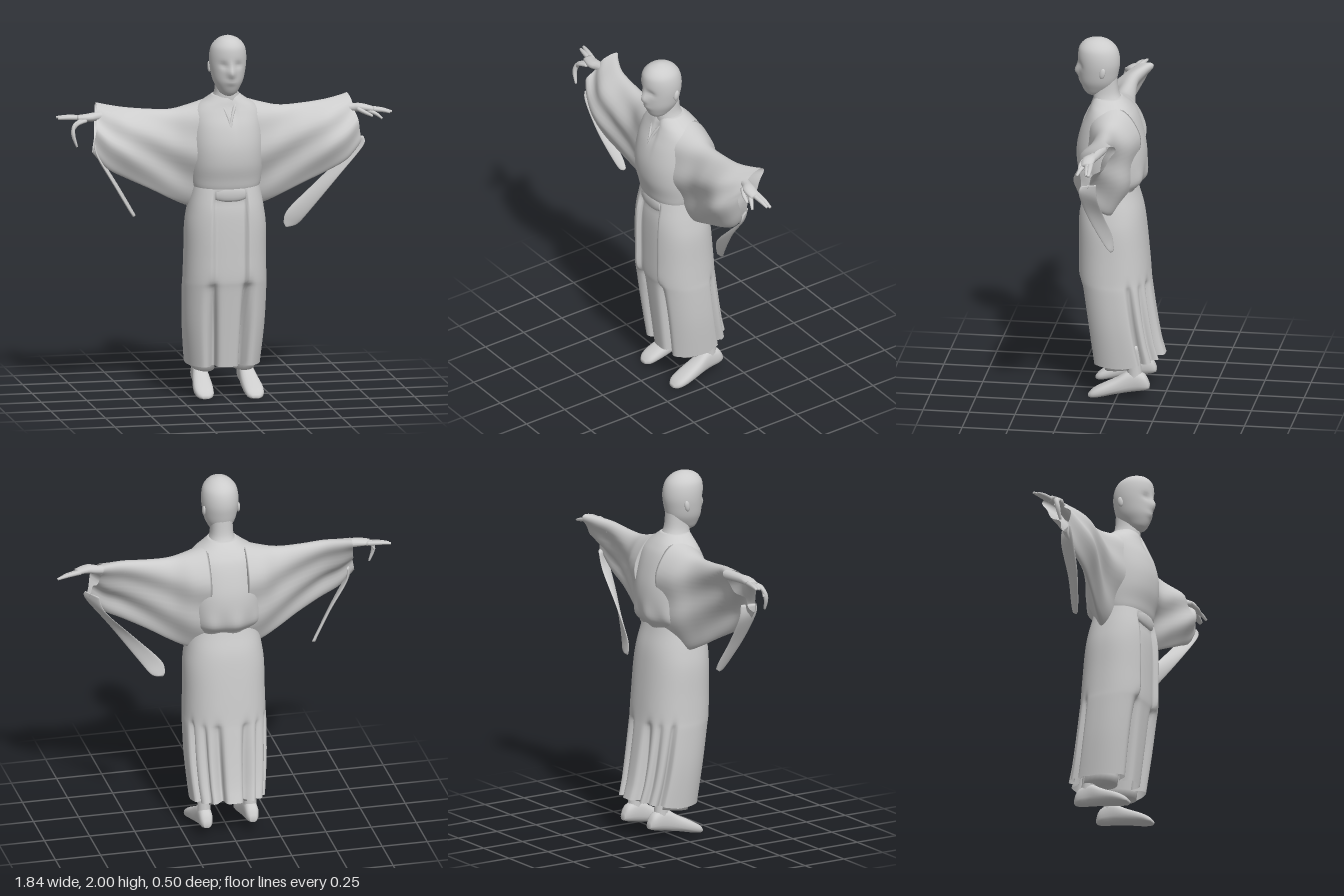
import * as THREE from 'three';

const cloth = new THREE.MeshStandardMaterial({ color: 0xcccccc, side: THREE.DoubleSide });
cloth.name = 'plain grey';

// Catmull-Rom interpolation of parameter rows, column by column
function smooth(rows, steps) {
  const out = [], last = rows.length - 1;
  for (let i = 0; i < last; i++) {
    const a = rows[Math.max(i - 1, 0)], b = rows[i], c = rows[i + 1], d = rows[Math.min(i + 2, last)];
    for (let k = 0; k < steps; k++) {
      const t = k / steps;
      out.push(b.map((_, j) => 0.5 * (2 * b[j] + (c[j] - a[j]) * t
        + (2 * a[j] - 5 * b[j] + 4 * c[j] - d[j]) * t * t
        + (3 * b[j] - a[j] - 3 * c[j] + d[j]) * t * t * t)));
    }
  }
  out.push(rows[last]);
  return out;
}

// Skin closed rings of points; faces are turned outwards by signed volume
function loft(name, rings, capStart = true, capEnd = true) {
  const n = rings[0].length, pos = rings.flat(2), idx = [];
  for (let i = 0; i < rings.length - 1; i++) {
    for (let j = 0; j < n; j++) {
      const a = i * n + j, b = i * n + (j + 1) % n;
      idx.push(a, b, a + n, b, b + n, a + n);
    }
  }
  const cap = (row, flip) => {
    const c = pos.length / 3;
    for (let k = 0; k < 3; k++) pos.push(rings[row].reduce((s, p) => s + p[k], 0) / n);
    for (let j = 0; j < n; j++) {
      const a = row * n + j, b = row * n + (j + 1) % n;
      if (flip) idx.push(c, b, a); else idx.push(c, a, b);
    }
  };
  if (capStart) cap(0, true);
  if (capEnd) cap(rings.length - 1, false);
  const v = i => new THREE.Vector3(pos[3 * i], pos[3 * i + 1], pos[3 * i + 2]);
  let volume = 0;
  for (let i = 0; i < idx.length; i += 3) volume += v(idx[i]).dot(v(idx[i + 1]).cross(v(idx[i + 2])));
  if (volume < 0) idx.reverse();
  const g = new THREE.BufferGeometry();
  g.setAttribute('position', new THREE.Float32BufferAttribute(pos, 3));
  g.setIndex(idx);
  g.computeVertexNormals();
  const mesh = new THREE.Mesh(g, cloth);
  mesh.name = name;
  return mesh;
}

const ring = (n, f) => Array.from({ length: n }, (_, i) => f(i / n * Math.PI * 2));
const sPow = (v, p) => Math.sign(v) * Math.abs(v) ** p;
const bell = (v, w) => Math.exp(-((v / w) ** 2));

// Upright rounded form from rows of [y, halfWidth, frontZ, backZ]
function upright(name, rows, n, dent = () => 0, p = 0.9) {
  return loft(name, smooth(rows, 4).map(([y, rx, f, b]) => ring(n, a => {
    const x = rx * sPow(Math.sin(a), p), c = sPow(Math.cos(a), p);
    return [x, y, (f + b) / 2 + (f - b) / 2 * c + dent(x, y, c)];
  })));
}

// Tapered limb through [x, y, z, radius, flatness]
function limb(name, pts, n = 12) {
  const rows = smooth(pts, 4);
  return loft(name, rows.map((r, i) => {
    const a = rows[Math.max(i - 1, 0)], b = rows[Math.min(i + 1, rows.length - 1)];
    const t = new THREE.Vector3(b[0] - a[0], b[1] - a[1], b[2] - a[2]).normalize();
    const side = new THREE.Vector3(0, 0, 1).addScaledVector(t, -t.z).normalize();
    const up = side.clone().cross(t);
    return ring(n, q => [0, 1, 2].map(k => r[k] + r[3]
      * (side.getComponent(k) * Math.cos(q) + up.getComponent(k) * Math.sin(q) * r[4])));
  }));
}

// Wide hanging sleeve: a teardrop section, thick at the arm, thin at the hem, bowed forward
function sleeve(side) {
  // x, topY, topZ, hemY, hemZ, armThickness, hemThickness, bow, shear
  const rows = [
    [0.1, 1.64, 0.035, 1.04, 0.02, 0.17, 0.07, 0, 0],
    [0.2, 1.61, 0.03, 1.055, 0.03, 0.14, 0.05, 0, 0],
    [0.3, 1.59, 0.03, 1.1, 0.05, 0.095, 0.03, 0.01, 0],
    [0.42, 1.593, 0.02, 1.165, 0.08, 0.08, 0.025, 0.03, 0],
    [0.55, 1.605, 0.005, 1.23, 0.105, 0.07, 0.03, 0.05, 0],
    [0.64, 1.615, -0.035, 1.29, 0.105, 0.06, 0.03, 0.05, 0.02],
    [0.69, 1.62, -0.07, 1.38, 0.095, 0.05, 0.025, 0.045, 0.05],
  ];
  return loft('sleeve', smooth(rows, 6).map(([x, ty, tz, hy, hz, r, thin, bow, shear]) => ring(48, a => {
    const s = (1 - Math.cos(a)) / 2, dy = hy - ty, dz = hz - tz, len = Math.hypot(dy, dz);
    const fold = 0.012 * Math.sin(s * 13 + x * 9) * s * (1 - s) * 4;
    const w = Math.sin(a) * (r * (1 - s) + thin * s) * 1.15 + fold;
    return [side * (x + shear * s), ty + dy * s + w * dz / len,
      tz + dz * s - w * dy / len + bow * Math.sin(Math.PI * s)];
  })), true, false);
}

// Flat sleeve end trailing from the cuff: rows of [frontEdge xyz, backEdge xyz]
function trail(rows) {
  return loft('sleeveTrail', smooth(rows, 5).map(r => ring(16, a => {
    const u = (1 + Math.cos(a)) / 2, t = 0.009 * Math.sin(a);
    return [r[0] * u + r[3] * (1 - u) + t, r[1] * u + r[4] * (1 - u) + t * 0.5, r[2] * u + r[5] * (1 - u) - t * 0.5];
  })));
}

function foot(side, cx, lift) {
  // z, halfWidth, soleY, topY, sideways drift
  const rows = [[-0.178, 0.018, 0.06, 0.09, 0], [-0.15, 0.036, 0.05, 0.14, 0], [-0.08, 0.04, 0.038, 0.16, 0],
    [0, 0.05, 0.025, 0.115, 0.005], [0.08, 0.054, 0.008, 0.075, 0.01], [0.13, 0.045, 0, 0.045, 0.01], [0.153, 0.02, 0.004, 0.02, 0.01]];
  return loft('foot', smooth(rows, 4).map(([z, w, lo, hi, d]) => ring(20, a => [
    side * (cx + d) + w * sPow(Math.cos(a), 0.8), (lo + hi) / 2 + lift + (hi - lo) / 2 * sPow(Math.sin(a), 0.8), z])));
}

export function createModel() {
  const model = new THREE.Group();
  model.name = 'robedFigure';

  // Head with shallow eye sockets, nose and mouth
  model.add(upright('head', [
    [1.675, 0.02, 0.17, 0.11], [1.69, 0.045, 0.19, 0.08], [1.72, 0.064, 0.207, 0.045], [1.76, 0.083, 0.219, 0.022],
    [1.81, 0.094, 0.224, 0.01], [1.86, 0.1, 0.228, 0.003], [1.91, 0.098, 0.23, 0.008], [1.95, 0.086, 0.222, 0.025],
    [1.982, 0.056, 0.193, 0.06], [1.997, 0.022, 0.15, 0.1], [2, 0.004, 0.13, 0.12],
  ], 48, (x, y, c) => c < 0 ? 0 : 0.024 * bell(x, 0.02) * bell(y - 1.805, 0.028) + 0.008 * bell(x, 0.016) * bell(y - 1.84, 0.03)
    - 0.012 * bell(Math.abs(x) - 0.04, 0.022) * bell(y - 1.85, 0.018)
    + 0.008 * bell(x, 0.03) * bell(y - 1.755, 0.014), 1));
  for (const s of [-1, 1]) {
    const ear = new THREE.Mesh(new THREE.SphereGeometry(1, 12, 10), cloth);
    ear.scale.set(0.01, 0.03, 0.016);
    ear.position.set(s * 0.095, 1.825, 0.085);
    ear.rotation.x = -0.2;
    ear.name = 'ear';
    model.add(ear);
  }
  model.add(upright('neck', [[1.6, 0.1, 0.14, -0.04], [1.65, 0.077, 0.147, -0.012], [1.7, 0.062, 0.147, 0.01], [1.79, 0.06, 0.14, 0.018]], 24));

  // Torso, blousing over the waist at the back
  model.add(upright('torso', [
    [1.13, 0.17, 0.18, -0.08], [1.17, 0.185, 0.2, -0.095], [1.22, 0.198, 0.212, -0.135], [1.3, 0.205, 0.232, -0.143],
    [1.4, 0.207, 0.234, -0.138], [1.5, 0.2, 0.212, -0.115], [1.57, 0.19, 0.182, -0.09], [1.61, 0.16, 0.165, -0.065],
    [1.64, 0.115, 0.155, -0.04], [1.67, 0.075, 0.142, -0.008],
  ], 64, (x, y, c) => c > 0 ? -0.012 * bell(x - 0.02, 0.012) * bell(y - 1.6, 0.1)
    : 0.008 * Math.sin(x * 45) * bell(y - 1.22, 0.07)));

  // Crossed collar bands
  for (const s of [-1, 1]) {
    model.add(limb('collarBand', [[s * 0.07, 1.662, 0.06, 0.008, 1], [s * 0.06, 1.655, 0.105, 0.011, 0.8],
      [s * 0.036, 1.62, 0.145, 0.011, 0.8], [s * 0.008, 1.55, 0.185, 0.01, 0.8], [0, 1.48, 0.208, 0.008, 0.8]]));
  }

  // Coat skirt: recessed centre front, deep slits in the lower part
  const skirtRows = [
    [1.2, 0.18, 0.19, -0.085, 0], [1.14, 0.19, 0.205, -0.1, 0], [1.05, 0.207, 0.222, -0.125, 0], [0.95, 0.22, 0.227, -0.14, 0],
    [0.8, 0.222, 0.227, -0.155, 0], [0.67, 0.225, 0.225, -0.166, 0.05], [0.6, 0.227, 0.215, -0.175, 0.6],
    [0.4, 0.222, 0.19, -0.205, 1], [0.18, 0.203, 0.163, -0.247, 1],
  ];
  // angle, width, depth
  const slits = [[0.42, 0.13, 0.3], [-0.42, 0.13, 0.3], [2.05, 0.07, 0.2], [-2.05, 0.07, 0.2],
    [2.82, 0.1, 0.26], [-2.82, 0.1, 0.26], [2.45, 0.08, 0.14], [-2.45, 0.08, 0.14]];
  model.add(loft('coatSkirt', smooth(skirtRows, 5).map(([y, rx, f, b, open]) => ring(128, a => {
    const c = sPow(Math.cos(a), 0.88);
    let k = 1;
    for (const [at, w, depth] of slits) {
      const d = Math.atan2(Math.sin(a - at), Math.cos(a - at));
      k -= open * depth * bell(d, w);
    }
    const x = rx * sPow(Math.sin(a), 0.88) * k;
    const recess = c > 0 ? 0.028 * (1 - THREE.MathUtils.smoothstep(Math.abs(x), 0.08, 0.1)) * THREE.MathUtils.smoothstep(1.17 - y, 0, 0.08) : 0;
    const hem = y < 0.3 && c < 0 ? -c * 0.04 * (0.3 - y) / 0.12 : 0;
    return [x, y + hem, (f + b) / 2 + (f - b) / 2 * c * k - recess];
  })), true, false));

  // Sash knot at the waist
  model.add(limb('sashKnot', [[-0.08, 1.14, 0.178, 0.012, 2.6], [-0.03, 1.14, 0.186, 0.015, 2.8],
    [0.04, 1.14, 0.186, 0.015, 2.8], [0.085, 1.14, 0.178, 0.012, 2.6]], 16));

  // Trouser legs and feet
  for (const [s, cx, lift] of [[1, 0.14, 0], [-1, 0.115, 0.008]]) {
    model.add(limb('trouserLeg', [[s * 0.09, 0.7, 0.02, 0.1, 0.7], [s * 0.1, 0.4, 0, 0.1, 0.7], [s * 0.11, 0.16, -0.03, 0.1, 0.65]], 20));
    model.add(limb('ankle', [[s * cx, 0.3, -0.08, 0.045, 0.9], [s * cx, 0.17, -0.095, 0.04, 0.9], [s * cx, 0.1, -0.1, 0.042, 0.9]]));
    model.add(foot(s, cx, lift));
  }

  // Sleeves and their trailing ends
  model.add(sleeve(1), sleeve(-1));
  model.add(trail([[0.75, 1.41, 0.105, 0.69, 1.4, 0.03], [0.745, 1.36, 0.115, 0.65, 1.3, 0.03], [0.62, 1.2, 0.09, 0.5, 1.15, 0.015],
    [0.47, 1, 0.03, 0.36, 1.01, -0.005], [0.41, 0.925, 0, 0.335, 0.945, -0.012], [0.37, 0.91, -0.01, 0.345, 0.915, -0.014]]));
  model.add(trail([[-0.73, 1.42, 0.115, -0.69, 1.41, 0.04], [-0.715, 1.36, 0.12, -0.68, 1.33, 0.035],
    [-0.62, 1.2, 0.1, -0.59, 1.18, 0.03], [-0.515, 1.03, 0.05, -0.52, 1.06, 0.01], [-0.492, 1.005, 0.025, -0.5, 1.015, 0.01]]));

  // Left hand, pointing out with loosely spread fingers
  const left = new THREE.Group();
  left.name = 'leftHand';
  left.add(
    limb('palm', [[0.55, 1.56, 0.02, 0.035, 0.9], [0.69, 1.56, 0.04, 0.027, 0.9], [0.75, 1.562, 0.06, 0.036, 0.6], [0.81, 1.55, 0.06, 0.03, 0.5]]),
    limb('indexFinger', [[0.79, 1.553, 0.045, 0.017, 0.8], [0.86, 1.543, 0.04, 0.014, 0.8], [0.918, 1.528, 0.038, 0.008, 0.8]], 8),
    limb('middleFinger', [[0.79, 1.55, 0.06, 0.016, 0.8], [0.86, 1.54, 0.055, 0.013, 0.8], [0.905, 1.526, 0.05, 0.008, 0.8]], 8),
    limb('ringFinger', [[0.78, 1.545, 0.075, 0.015, 0.8], [0.82, 1.53, 0.095, 0.012, 0.8], [0.852, 1.505, 0.11, 0.007, 0.8]], 8),
    limb('thumb', [[0.72, 1.56, 0.08, 0.016, 0.8], [0.76, 1.54, 0.1, 0.013, 0.8], [0.8, 1.52, 0.105, 0.008, 0.8]], 8));

  // Right hand, two fingers out and the others drooping
  const right = new THREE.Group();
  right.name = 'rightHand';
  right.add(
    limb('palm', [[-0.55, 1.565, 0.02, 0.035, 0.9], [-0.69, 1.565, 0.035, 0.027, 0.9], [-0.75, 1.562, 0.045, 0.036, 0.6], [-0.81, 1.56, 0.035, 0.03, 0.5]]),
    limb('indexFinger', [[-0.79, 1.56, 0.02, 0.016, 0.8], [-0.86, 1.563, 0.005, 0.014, 0.8], [-0.918, 1.56, -0.008, 0.008, 0.8]], 8),
    limb('middleFinger', [[-0.79, 1.56, 0.035, 0.016, 0.8], [-0.86, 1.56, 0.025, 0.014, 0.8], [-0.912, 1.556, 0.015, 0.008, 0.8]], 8),
    limb('ringFinger', [[-0.79, 1.55, 0.06, 0.016, 0.8], [-0.835, 1.53, 0.085, 0.013, 0.8], [-0.845, 1.48, 0.1, 0.014, 0.8], [-0.825, 1.415, 0.105, 0.007, 0.8]], 8),
    limb('thumb', [[-0.77, 1.55, 0.07, 0.014, 0.8], [-0.82, 1.535, 0.09, 0.012, 0.8], [-0.85, 1.49, 0.085, 0.008, 0.8]], 8));
  model.add(left, right);
  return model;
}
